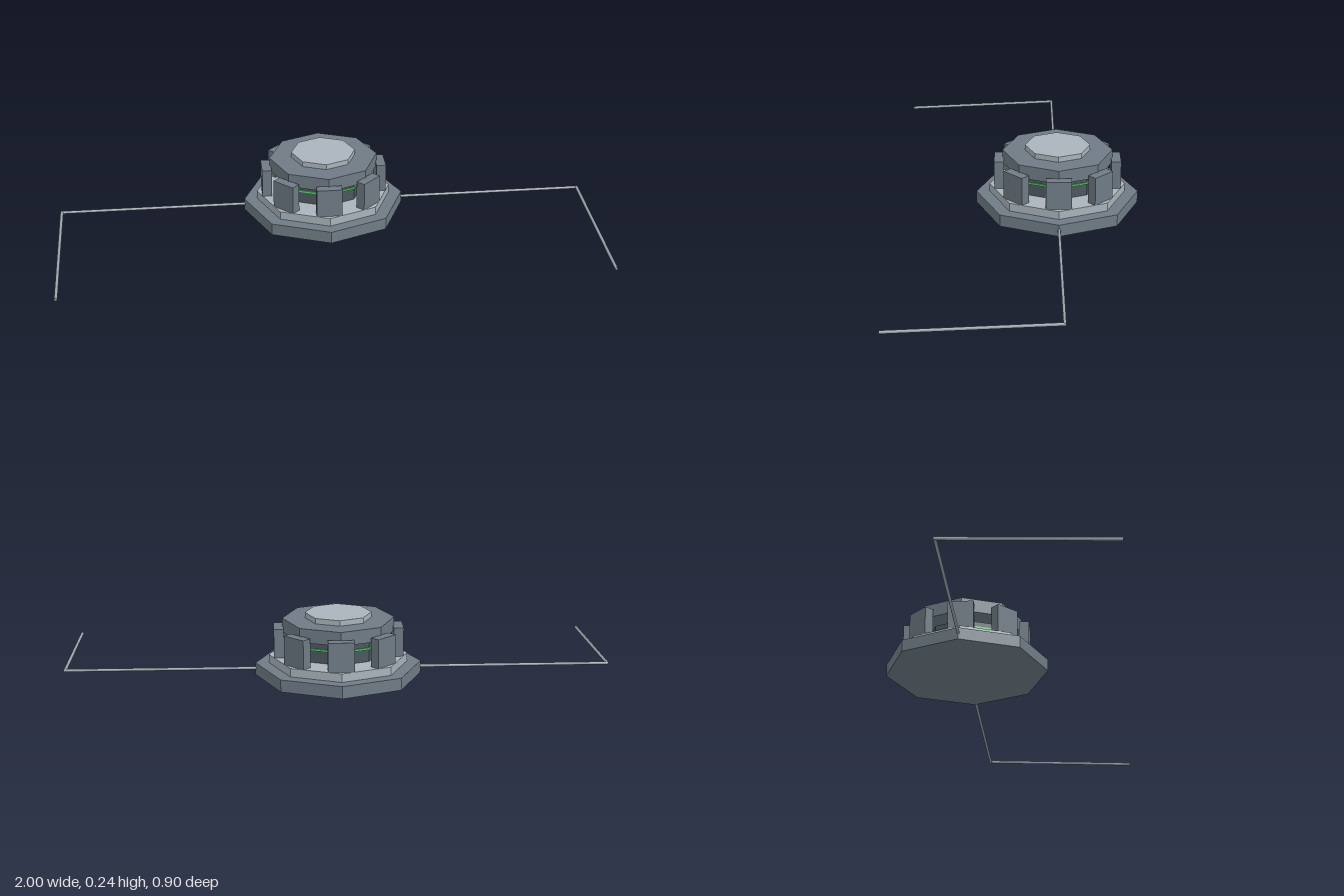
import * as THREE from 'three';

const mat = (name, color, flatShading) => {
  const m = new THREE.MeshStandardMaterial({ color, flatShading });
  m.name = name;
  return m;
};

export function createModel() {
  const steel = mat('slate steel', 0x6f7b85, true);
  const light = mat('light metal', 0xaab4bc, true);
  const dark = mat('dark core', 0x4c575f, true);
  const green = mat('green glow', 0x4fd765, true);
  const rodMat = mat('rod metal', 0x9ba5ad, false);

  const model = new THREE.Group();
  const body = new THREE.Group();
  body.name = 'body';
  body.position.z = -0.147;
  model.add(body);

  // Stacked octagonal tiers, corners on the x and z axes
  const tier = (name, radius, y0, y1, material) => {
    const mesh = new THREE.Mesh(new THREE.CylinderGeometry(radius, radius, y1 - y0, 8), material);
    mesh.name = name;
    mesh.position.y = (y0 + y1) / 2;
    body.add(mesh);
  };
  tier('base', 0.302, 0.01, 0.055, steel);
  tier('lowerDeck', 0.253, 0.055, 0.086, light);
  tier('core', 0.15, 0.086, 0.158, dark);
  tier('glowBand', 0.155, 0.131, 0.138, green);
  tier('roof', 0.204, 0.172, 0.223, steel);
  tier('cap', 0.121, 0.223, 0.243, light);

  // Ring of eight pillars
  const pillarGeo = new THREE.BoxGeometry(0.094, 0.107, 0.036);
  for (let i = 0; i < 8; i++) {
    const a = (i * Math.PI) / 4;
    const pillar = new THREE.Mesh(pillarGeo, steel);
    pillar.name = 'pillar';
    pillar.position.set(Math.sin(a) * 0.217, 0.1395, Math.cos(a) * 0.217);
    pillar.rotation.y = a;
    body.add(pillar);
  }

  // Thin round rod between two points
  const rod = (name, from, to, radius) => {
    const dir = to.clone().sub(from);
    const mesh = new THREE.Mesh(new THREE.CylinderGeometry(radius, radius, dir.length(), 8), rodMat);
    mesh.name = name;
    mesh.position.copy(from).add(to).multiplyScalar(0.5);
    mesh.quaternion.setFromUnitVectors(new THREE.Vector3(0, 1, 0), dir.normalize());
    model.add(mesh);
  };

  // Side arms with forward legs dipping to the ground
  for (const s of [1, -1]) {
    const elbow = new THREE.Vector3(s * 0.994, 0.035, -0.147);
    rod('arm', new THREE.Vector3(s * 0.28, 0.035, -0.147), new THREE.Vector3(s * 0.997, 0.035, -0.147), 0.0055);
    rod('leg', elbow, new THREE.Vector3(s * 0.994, 0.0065, 0.447), 0.006);
  }
  return model;
}
